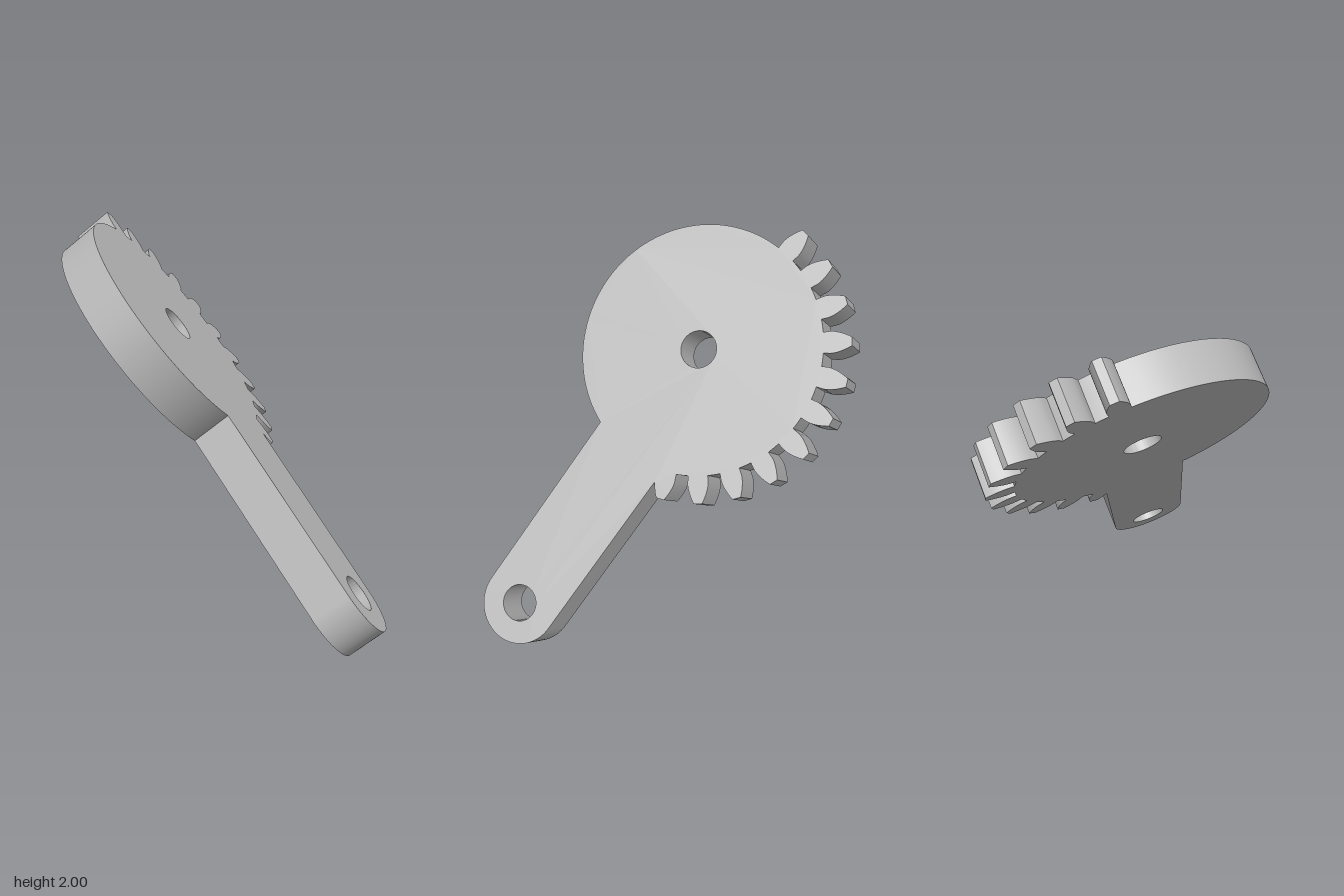
import * as THREE from 'three';
import { toCreasedNormals } from 'three/addons/utils/BufferGeometryUtils.js';

const DEG = Math.PI / 180;

// Gear: 24-tooth spacing, only 11 teeth cut
const ROOT = 0.634, TIP = 0.772, PITCH = 0.7126;
const BASE = PITCH * Math.cos(20 * DEG);
const STEP = 15 * DEG, TEETH = 11, LAST_TOOTH = 61.2 * DEG;
// Arm: straight bar with a rounded end
const ARM_X = -0.577, ARM_Y = -1.5, ARM_R = 0.21;
const ARM_ANGLE = Math.atan2(ARM_Y, ARM_X);
const HOLE = 0.094, THICKNESS = 0.204;

const involute = (a) => Math.tan(a) - a;

// Half the angular width of an involute tooth at radius r
function halfTooth(r) {
  const a = Math.acos(Math.min(1, BASE / r));
  return STEP / 4 + involute(20 * DEG) - involute(a);
}

function circleHole(x, y) {
  return new THREE.Path().absarc(x, y, HOLE, 0, Math.PI * 2, true);
}

function plateShape() {
  const s = new THREE.Shape();
  const to = (r, a) => s.lineTo(r * Math.cos(a), r * Math.sin(a));

  // rounded arm end
  s.absarc(ARM_X, ARM_Y, ARM_R, ARM_ANGLE - Math.PI / 2, ARM_ANGLE + Math.PI / 2, false);

  // teeth, counter-clockwise from the arm
  const radii = [ROOT, BASE];
  for (let i = 1; i <= 7; i++) radii.push(BASE + (TIP - BASE) * i / 7);
  for (let k = 0; k < TEETH; k++) {
    const mid = LAST_TOOTH - (TEETH - 1 - k) * STEP;
    for (const r of radii) {
      const a = mid - halfTooth(r);
      // the first flank starts where it leaves the arm
      if (a > ARM_ANGLE + Math.asin(ARM_R / r)) to(r, a);
    }
    for (const r of [...radii].reverse()) to(r, mid + halfTooth(r));
    // root arc to the next tooth
    if (k < TEETH - 1) {
      const w = halfTooth(ROOT), gap = STEP - 2 * w;
      for (let i = 1; i < 4; i++) to(ROOT, mid + w + gap * i / 4);
    }
  }

  // plain round side of the disc, back to the arm
  s.absarc(0, 0, ROOT, LAST_TOOTH + halfTooth(ROOT),
    ARM_ANGLE + Math.PI * 2 - Math.asin(ARM_R / ROOT), false);
  s.closePath();

  s.holes.push(circleHole(0, 0), circleHole(ARM_X, ARM_Y));
  return s;
}

export function createModel() {
  const group = new THREE.Group();
  group.name = 'sectorGearLever';

  const grey = new THREE.MeshStandardMaterial({ color: 0xb8b8b8 });
  grey.name = 'plainGrey';

  const extruded = new THREE.ExtrudeGeometry(plateShape(), {
    depth: THICKNESS, bevelEnabled: false, curveSegments: 72,
  });
  extruded.translate(0, 0, -THICKNESS);

  const lever = new THREE.Mesh(toCreasedNormals(extruded, 20 * DEG), grey);
  lever.name = 'toothedLeverPlate';

  // tilt the plate: its local y climbs towards -x, its face looks to +x and up
  const up = new THREE.Vector3(-0.623, 0.782, 0).normalize();
  const face = new THREE.Vector3(-up.x, up.y, 0).set(up.y, -up.x, 0);
  const side = new THREE.Vector3(0, 0, -1);
  lever.quaternion.setFromRotationMatrix(new THREE.Matrix4().makeBasis(side, up, face));
  lever.position.set(-0.242, 1.466, -0.01);
  group.add(lever);
  return group;
}
